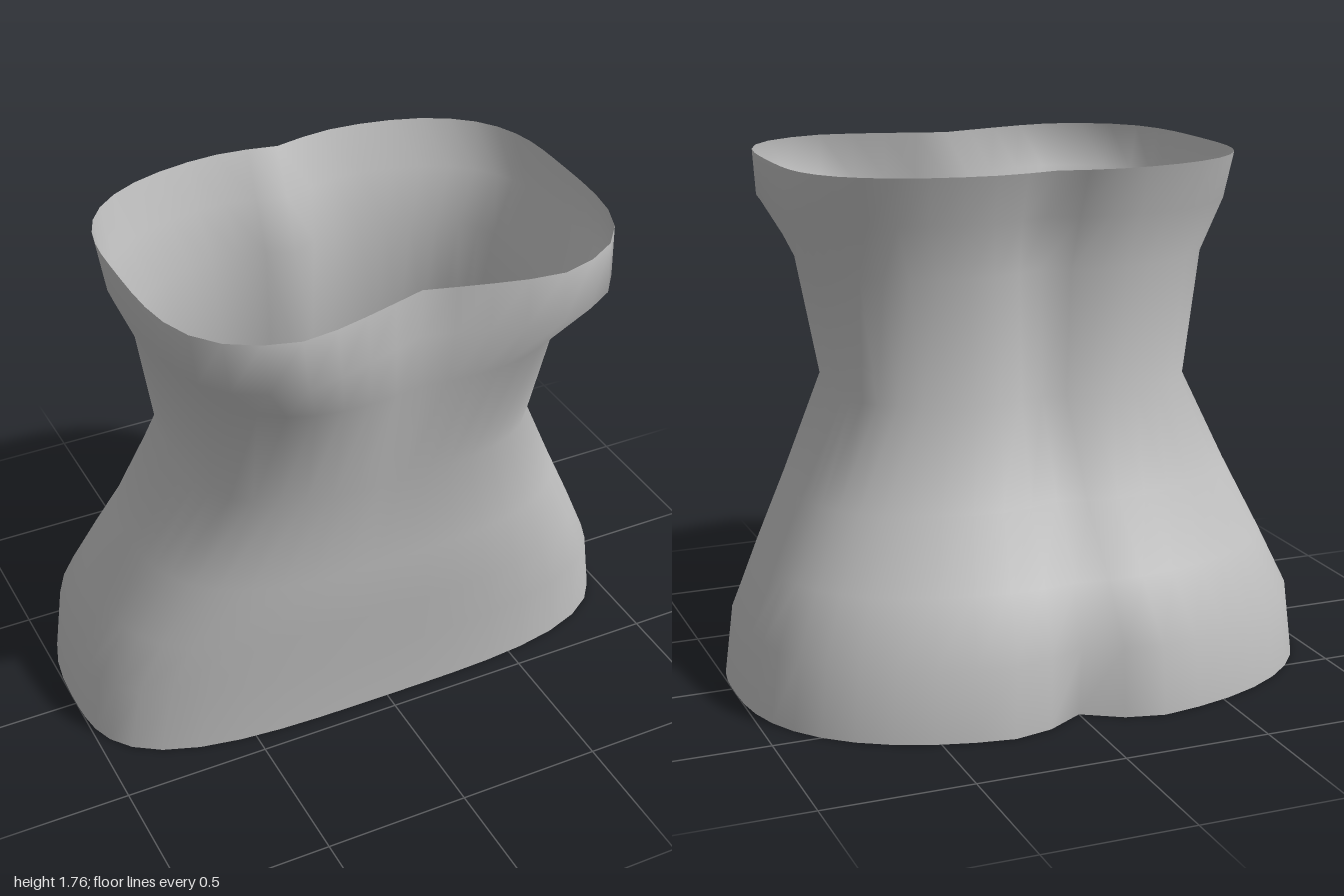
import * as THREE from 'three';

const SIDES = 48;

// Each half of a section is a rounded box-like curve: half width, z of the widest point,
// then depth, squareness and centre-line dip for the front and for the back.
const sections = [
  // hips and seat
  { y: 0, width: 1, mid: -0.05, front: [0.49, 3.4, 0], back: [0.7, 2.4, 0.12] },
  { y: 0.24, width: 0.97, mid: -0.05, front: [0.51, 3.2, 0], back: [0.685, 2.4, 0.08] },
  { y: 0.44, width: 0.88, mid: -0.04, front: [0.53, 3.1, 0], back: [0.58, 2.4, 0.03] },
  { y: 0.67, width: 0.77, mid: -0.02, front: [0.53, 3, 0], back: [0.47, 2.4, 0.06] },
  // waist
  { y: 1, width: 0.61, mid: 0.04, front: [0.48, 3.1, 0], back: [0.39, 3.1, 0.05] },
  // ribs and chest
  { y: 1.42, width: 0.69, mid: 0.08, front: [0.61, 2.35, 0.07], back: [0.455, 2.7, 0.09] },
  { y: 1.6, width: 0.765, mid: 0.08, front: [0.67, 4, 0.14], back: [0.49, 2.8, 0.07] },
  { y: 1.76, width: 0.785, mid: 0.06, front: [0.67, 3.8, 0.12], back: [0.52, 2.8, 0.04] },
];

// Closed ring starting at the front centre, running towards +x and round the back
function ring({ y, width, mid, front, back }) {
  return Array.from({ length: SIDES }, (_, i) => {
    const angle = (i / SIDES) * Math.PI * 2;
    const s = Math.sin(angle), c = Math.cos(angle);
    const [depth, squareness, dip] = c > 0 ? front : back;
    const radius = (Math.abs(s) ** squareness + Math.abs(c) ** squareness) ** (-1 / squareness);
    const x = width * radius * s;
    // The dip is broad between the breasts and a narrow cleft along the spine
    const reach = c > 0 ? 0.42 : 0.26;
    const groove = dip * Math.max(0, 1 - Math.abs(x) / reach) ** (c > 0 ? 1 : 1.6);
    return new THREE.Vector3(x, y, mid + Math.sign(c) * (depth * radius * Math.abs(c) - groove));
  });
}

// Smooth open tube through rings listed from bottom to top
function loft(rings) {
  const index = [];
  for (let j = 0; j < rings.length - 1; j++) {
    for (let i = 0; i < SIDES; i++) {
      const a = j * SIDES + i, b = j * SIDES + (i + 1) % SIDES;
      index.push(a, b, b + SIDES, a, b + SIDES, a + SIDES);
    }
  }
  const geometry = new THREE.BufferGeometry().setFromPoints(rings.flat());
  geometry.setIndex(index);
  geometry.computeVertexNormals();
  return geometry;
}

export function createModel() {
  const group = new THREE.Group();
  group.name = 'torso';
  const grey = new THREE.MeshStandardMaterial({ color: 0xbfbfbf, side: THREE.DoubleSide });
  grey.name = 'plain grey';

  const shell = new THREE.Mesh(loft(sections.map(ring)), grey);
  shell.name = 'torsoShell';
  group.add(shell);
  return group;
}
